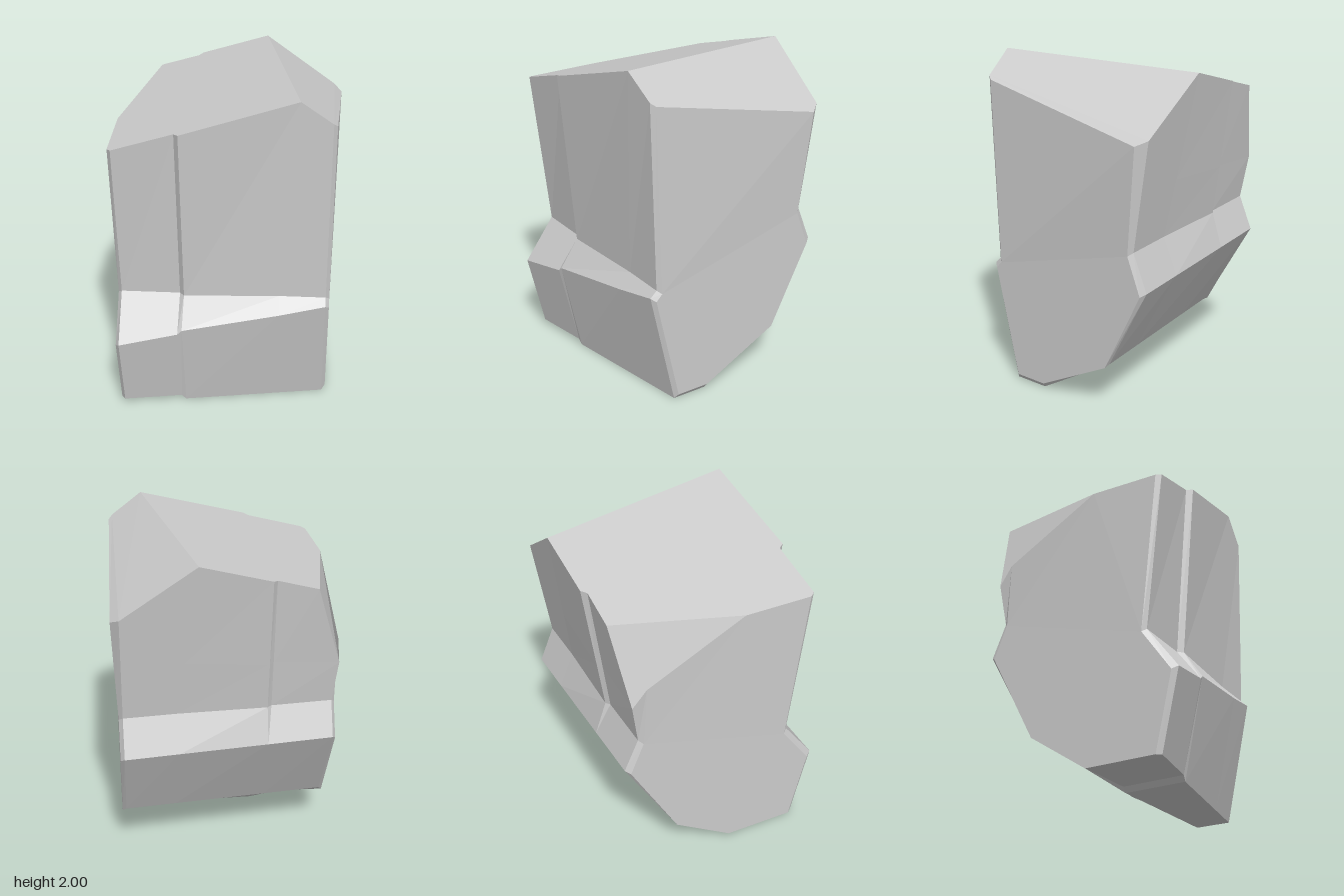
import * as THREE from 'three';

const V = (x, y, z) => new THREE.Vector3(x, y, z);

// Sloping plane of the main top face
const topY = (x, z) => 1.896 + 0.279 * x - 0.009 * z;

// Long edges of the rock: y, z at the left corner, y, z at the right corner, z jump at the step
const edges = {
  frontFoot: [0.03, 0.55, 0, 0.36, 0],
  frontLedge: [0.5, 0.655, 0.72, 0.52, 0],
  frontNotch: [0.76, 0.465, 0.76, 0.48, 0.03],
  frontTop: [1.715, 0.57, 1.87, 0.515, 0.035],
  backTop: [1.77, -0.605, 1.66, -0.62, -0.03],
  backNotch: [1.03, -0.5, 1.02, -0.525, -0.02],
  backBulge: [0.83, -0.585, 0.8, -0.615, 0],
  backSlope: [0.29, -0.28, 0.3, -0.355, 0],
  backFoot: [0.03, 0.1, 0, 0.145, 0],
};

// Chamfer point beside a corner: outward in x, inward in z, a little lower
const chamfer = (p, side) => V(p.x + side * 0.022, Math.max(0.03, p.y - 0.02), p.z * 0.95);

// Seven points along an edge: chamfer, corner, step, step, ridge, corner, chamfer
function edgePoints([yL, zL, yR, zR, jump]) {
  const left = V(-0.612 - 0.03 * zL, yL, zL);
  const right = V(0.59 - 0.04 * zR, yR, zR);
  const at = (x) => left.clone().lerp(right, (x - left.x) / (right.x - left.x));
  const stepX = -0.25 - 0.04 * zL;
  const outer = at(stepX + 0.013);
  outer.z += jump;
  return [chamfer(left, -1), left, at(stepX - 0.013), outer, at(0.3), right, chamfer(right, 1)];
}

function buildRails() {
  const r = {};
  for (const name in edges) r[name] = edgePoints(edges[name]);

  // Foot: the left part stands clear of the ground
  for (const foot of [r.frontFoot, r.backFoot]) {
    foot[2].y = 0.03;
    foot[3].y = foot[4].y = 0;
  }
  r.frontLedge[3].y += 0.02;

  // Top: a ridge, a cut back left corner and a wide back right corner
  r.frontTop[4].set(0.39, 2, 0.53);
  r.backTop[4].set(0.19, 1.955, -0.657);
  r.backTop[0].set(-0.65, 0, 0.13);
  r.backTop[1].x = -0.47;
  r.backTop[6].set(0.66, 1.63, -0.56);
  for (const top of [r.frontTop, r.backTop]) {
    top.slice(0, 4).forEach((p) => { p.y = topY(p.x, p.z); });
  }

  // Extra edge in the back wall, where the corner cut ends
  const middle = r.backTop.map((p, s) => p.clone().lerp(r.backNotch[s], 0.64));
  middle[0].set(-0.63, 1.4, -0.455);
  middle[1].set(-0.62, 1.29, -0.54);

  const rails = Object.values(r);
  rails.splice(rails.indexOf(r.backNotch), 0, middle);
  return rails;
}

function rockGeometry() {
  const rails = buildRails();
  const last = rails[0].length - 1;
  const pos = [];
  const tri = (...pts) => pts.forEach((p) => pos.push(p.x, p.y, p.z));

  // Faces between neighbouring edges
  rails.forEach((lower, i) => {
    const upper = rails[(i + 1) % rails.length];
    for (let s = 0; s < last; s++) {
      tri(lower[s], lower[s + 1], upper[s + 1]);
      tri(lower[s], upper[s + 1], upper[s]);
    }
  });

  // Side faces
  for (const s of [0, last]) {
    const loop = rails.map((rail) => rail[s]).reverse();
    const outline = loop.map((p) => new THREE.Vector2(-p.z, p.y));
    for (const [a, b, c] of THREE.ShapeUtils.triangulateShape(outline, [])) {
      if (s) tri(loop[a], loop[b], loop[c]);
      else tri(loop[a], loop[c], loop[b]);
    }
  }

  const geometry = new THREE.BufferGeometry();
  geometry.setAttribute('position', new THREE.Float32BufferAttribute(pos, 3));
  geometry.computeVertexNormals();
  return geometry;
}

export function createModel() {
  const group = new THREE.Group();
  group.name = 'rock';
  const material = new THREE.MeshStandardMaterial({ color: 0xcccccc, flatShading: true });
  const block = new THREE.Mesh(rockGeometry(), material);
  block.name = 'rockBlock';
  group.add(block);
  return group;
}
